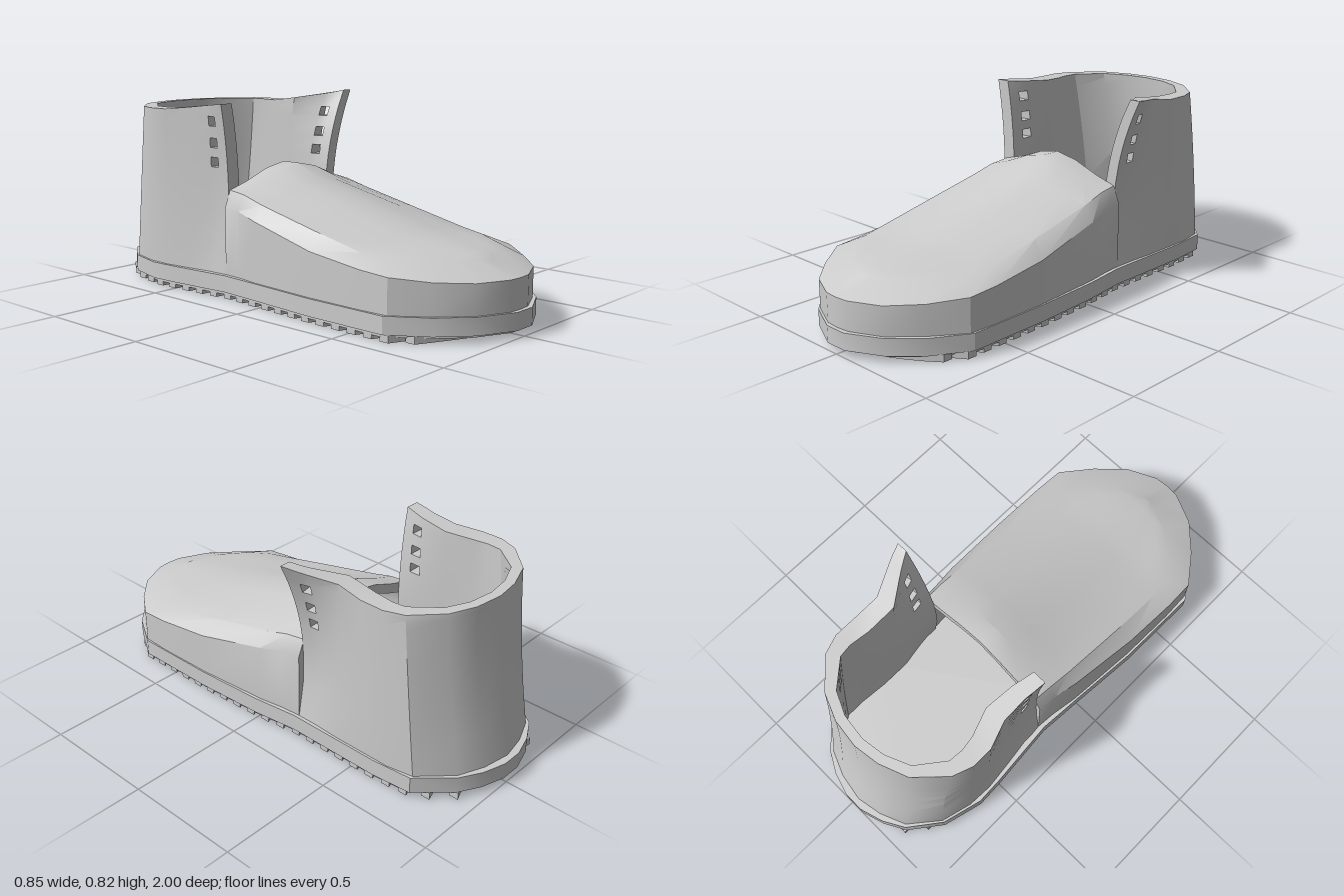
import * as THREE from 'three';
import { toCreasedNormals } from 'three/addons/utils/BufferGeometryUtils.js';

const material = new THREE.MeshStandardMaterial({ color: 0xcccccc, side: THREE.DoubleSide });

function addMesh(group, name, geometry) {
  const mesh = new THREE.Mesh(geometry, material);
  mesh.name = name;
  group.add(mesh);
  return mesh;
}

// Closed thick shell between two point grids; cells where hole(i, j) is true are cut through.
function shell(outer, inner, hole = () => false) {
  const pos = [];
  const quad = (a, b, c, d) => [a, b, c, a, c, d].forEach(p => pos.push(...p));
  const ni = outer.length - 1, nj = outer[0].length - 1;
  const solid = (i, j) => i >= 0 && j >= 0 && i < ni && j < nj && !hole(i, j);
  for (let i = 0; i < ni; i++) for (let j = 0; j < nj; j++) {
    if (!solid(i, j)) continue;
    const c = [[i, j], [i + 1, j], [i + 1, j + 1], [i, j + 1]];
    const o = c.map(([u, v]) => outer[u][v]), n = c.map(([u, v]) => inner[u][v]);
    quad(...o);
    quad(n[3], n[2], n[1], n[0]);
    [[i, j - 1], [i + 1, j], [i, j + 1], [i - 1, j]].forEach(([u, v], k) => {
      const m = (k + 1) % 4;
      if (!solid(u, v)) quad(o[m], o[k], n[k], n[m]);
    });
  }
  const g = new THREE.BufferGeometry();
  g.setAttribute('position', new THREE.Float32BufferAttribute(pos, 3));
  return toCreasedNormals(g, 0.5);
}

// Horizontal slab from a plan outline of [x, z] points.
function slab(points, bottom, top) {
  const shape = new THREE.Shape(points.map(([x, z]) => new THREE.Vector2(x, z)));
  const g = new THREE.ExtrudeGeometry(shape, { depth: top - bottom, bevelEnabled: false });
  g.rotateX(Math.PI / 2).translate(0, top, 0);
  return toCreasedNormals(g, 0.5);
}

// Sole plan: z, right edge x, left edge x
const solePlan = [
  [-1, -0.07, 0.02], [-0.97, -0.17, 0.12], [-0.92, -0.26, 0.21], [-0.79, -0.36, 0.335],
  [-0.62, -0.405, 0.35], [-0.5, -0.4, 0.35], [-0.2, -0.375, 0.35], [0, -0.39, 0.375],
  [0.3, -0.415, 0.392], [0.67, -0.42, 0.395], [0.82, -0.32, 0.305], [0.93, -0.2, 0.19], [1, -0.05, 0.05],
];

function soleEdges(z) {
  const k = Math.max(1, solePlan.findIndex(r => r[0] >= z));
  const a = solePlan[k - 1], b = solePlan[k], f = (z - a[0]) / (b[0] - a[0]);
  return [a[1] + (b[1] - a[1]) * f, a[2] + (b[2] - a[2]) * f];
}

function soleOutline(scale) {
  return [
    ...solePlan.map(([z, , x]) => [x * scale, z * scale]),
    ...[...solePlan].reverse().map(([z, x]) => [x * scale, z * scale]),
  ];
}

// Front upper. Stations: base z, half width, wall top y, shoulder z, shoulder x, shoulder y, crown y
const vampStations = [
  [-0.215, 0.345, 0.38, -0.215, 0.315, 0.45, 0.54],
  [-0.13, 0.352, 0.375, -0.13, 0.32, 0.44, 0.54],
  [-0.02, 0.37, 0.35, -0.02, 0.325, 0.41, 0.49],
  [0.3, 0.395, 0.28, 0.27, 0.33, 0.345, 0.4],
  [0.55, 0.4, 0.25, 0.5, 0.33, 0.295, 0.335],
  [0.68, 0.395, 0.24, 0.6, 0.31, 0.285, 0.315],
  [0.81, 0.3, 0.225, 0.7, 0.25, 0.28, 0.3],
  [0.92, 0.19, 0.22, 0.79, 0.15, 0.275, 0.285],
  [0.98, 0.06, 0.22, 0.84, 0.05, 0.27, 0.275],
  [0.985, 0, 0.22, 0.85, 0, 0.27, 0.27],
];

function vampGeometry() {
  const outer = vampStations.map(([zb, xb, yw, zs, xs, ys, yc]) => {
    const half = [[xb, 0.1, zb], [xb, yw, zb], [xs, ys, zs],
      ...[[0.7, 0.3], [0.33, 0.78]].map(([f, h]) => [xs * f, ys + (yc - ys) * h, zs])];
    const mirrored = half.map(([x, y, z]) => [-x, y, z]);
    return [...mirrored, [0, yc, zs], ...half.reverse()].map(([x, y, z]) => [x - 0.01, y, z]);
  });
  const inner = outer.map(row => row.map(([x, y, z]) =>
    [x * 0.87, Math.max(0.1, y - 0.035), z - 0.05 * THREE.MathUtils.smoothstep(z, 0, 0.9)]));
  return shell(outer, inner);
}

// Ankle wall, from left flap round the heel to right flap:
// x, z at the base, x, z at mid height, x, z at the top, thickness
const shaftStations = [
  [0.335, -0.215, 0.315, -0.215, 0.415, -0.215, 0.05],
  [0.335, -0.27, 0.315, -0.27, 0.4, -0.27, 0.05],
  [0.335, -0.31, 0.315, -0.31, 0.385, -0.31, 0.055],
  [0.34, -0.42, 0.33, -0.42, 0.335, -0.42, 0.08],
  [0.34, -0.55, 0.34, -0.54, 0.34, -0.53, 0.08],
  [0.34, -0.68, 0.34, -0.66, 0.34, -0.63, 0.07],
  [0.32, -0.79, 0.32, -0.75, 0.31, -0.71, 0.06],
  [0.2, -0.91, 0.2, -0.85, 0.2, -0.815, 0.045],
  [0.09, -0.955, 0.09, -0.892, 0.09, -0.86, 0.04],
  [-0.03, -0.975, -0.03, -0.908, -0.03, -0.875, 0.04],
  [-0.14, -0.955, -0.14, -0.892, -0.14, -0.86, 0.04],
  [-0.25, -0.91, -0.25, -0.85, -0.26, -0.815, 0.045],
  [-0.35, -0.79, -0.355, -0.75, -0.37, -0.7, 0.06],
  [-0.385, -0.66, -0.39, -0.64, -0.4, -0.62, 0.075],
  [-0.39, -0.55, -0.39, -0.54, -0.4, -0.53, 0.085],
  [-0.375, -0.42, -0.365, -0.42, -0.36, -0.42, 0.085],
  [-0.36, -0.31, -0.34, -0.31, -0.36, -0.31, 0.07],
  [-0.36, -0.27, -0.335, -0.27, -0.365, -0.27, 0.065],
  [-0.355, -0.215, -0.335, -0.215, -0.37, -0.215, 0.06],
];
const shaftRows = [0.1, 0.25, 0.37, 0.47, 0.54, 0.58, 0.62, 0.66, 0.71, 0.75];

function shaftGeometry() {
  // Quadratic blend through the three levels
  const blend = (a, b, c, y) => {
    const l = 0.1, m = 0.47, h = 0.8;
    return a * (y - m) * (y - h) / ((l - m) * (l - h)) + b * (y - l) * (y - h) / ((m - l) * (m - h))
      + c * (y - l) * (y - m) / ((h - l) * (h - m));
  };
  const outer = shaftStations.map(s => {
    const rise = s[0] > 0 ? 0.055 : 0.035;
    const top = 0.77 + rise * THREE.MathUtils.clamp((s[5] + 0.52) / 0.3, 0, 1);
    return [...shaftRows, top].map(y => [blend(s[0], s[2], s[4], y), y, blend(s[1], s[3], s[5], y)]);
  });
  const last = outer.length - 1;
  const inner = outer.map((column, i) => column.map(([x, y, z], j) => {
    const a = outer[Math.max(0, i - 1)][j], b = outer[Math.min(last, i + 1)][j];
    const dx = b[0] - a[0], dz = b[2] - a[2], t = shaftStations[i][6] / Math.hypot(dx, dz);
    const end = i === 0 || i === last;
    return [x + dz * t, y, end ? z : z - dx * t];
  }));
  // Three lace holes in each flap
  const hole = (i, j) => (i === 1 || i === last - 2) && (j === 4 || j === 6 || j === 8);
  return shell(outer, inner, hole);
}

// One bowed tread bar across the sole
function treadBar(z0) {
  const [r, l] = soleEdges(z0);
  const bow = 0.04 + 0.11 * THREE.MathUtils.smoothstep(z0, -0.4, 0.7);
  const front = [], back = [], n = 12;
  for (let k = 0; k <= n; k++) {
    const u = k / n * 2 - 1;
    const x = ((r + l) / 2 + u * (l - r) / 2) * 0.97;
    const z = z0 + bow * (1 - Math.abs(u) ** 1.5) + 0.015 * Math.sin(u * 3);
    front.push([x, z + 0.02]);
    back.unshift([x, z - 0.02]);
  }
  return slab([...front, ...back], 0, 0.03);
}

export function createModel() {
  const boot = new THREE.Group();
  boot.name = 'boot';
  addMesh(boot, 'welt', slab(soleOutline(1), 0.03, 0.1));
  addMesh(boot, 'outsole', slab(soleOutline(0.975), 0.018, 0.03));
  addMesh(boot, 'vamp', vampGeometry());
  addMesh(boot, 'ankleShaft', shaftGeometry());

  const tread = new THREE.Group();
  tread.name = 'tread';
  for (let i = 0; i < 22; i++) addMesh(tread, 'treadBar', treadBar(-0.91 + i * 0.079));
  boot.add(tread);
  return boot;
}
